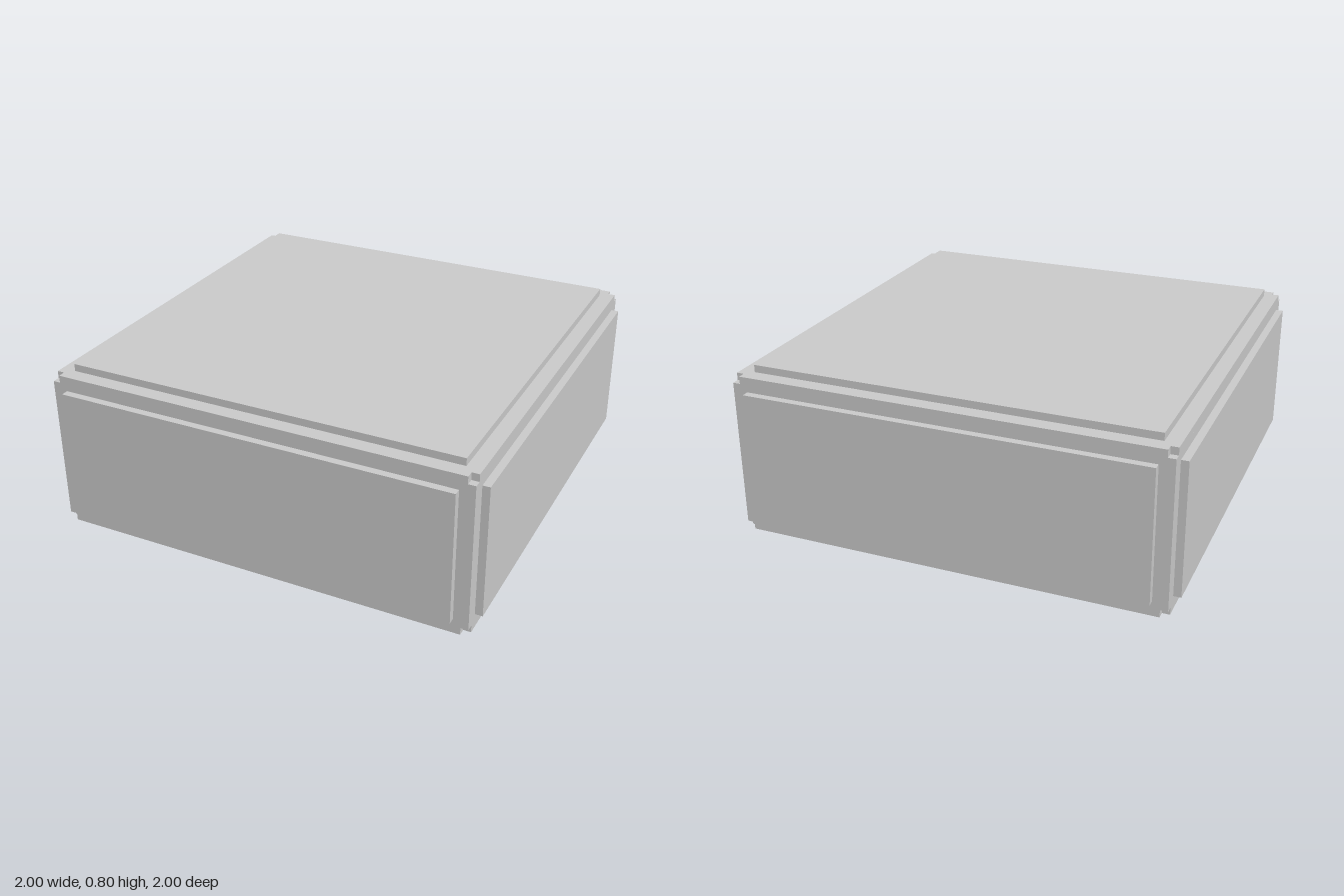
import * as THREE from 'three';

const HALF = [1, 0.4, 1];   // overall half sizes
const STEP = 0.0333;        // panel thickness and corner notch size
const MARGIN = 0.1;         // panel inset from the overall edges

export function createModel() {
  const model = new THREE.Group();
  const material = new THREE.MeshStandardMaterial({ color: 0xcccccc, flatShading: true });
  const add = (name, geometry, x, y, z) => {
    const mesh = new THREE.Mesh(geometry, material);
    mesh.name = name;
    mesh.position.set(x, y, z);
    model.add(mesh);
    return mesh;
  };

  // Core block, up to the level of the corner notches
  const a = 1 - STEP;       // core half width
  const b = a - STEP;       // start of the corner notch
  const h = HALF[1] - 2 * STEP;
  add('coreBlock', new THREE.BoxGeometry(2 * a, 2 * h, 2 * a), 0, HALF[1], 0);

  // Top and bottom layers with a small square cut out of each corner
  const outline = [
    [a, -b], [a, b], [b, b], [b, a], [-b, a], [-b, b],
    [-a, b], [-a, -b], [-b, -b], [-b, -a], [b, -a], [b, -b],
  ].map(([x, y]) => new THREE.Vector2(x, y));
  const layer = new THREE.ExtrudeGeometry(new THREE.Shape(outline), { depth: STEP, bevelEnabled: false });
  layer.rotateX(-Math.PI / 2);
  add('topNotchedLayer', layer, 0, HALF[1] + h, 0);
  add('bottomNotchedLayer', layer, 0, STEP, 0);

  // One raised panel on each of the six faces
  const names = [['leftPanel', 'rightPanel'], ['topPanel', 'bottomPanel'], ['frontPanel', 'backPanel']];
  names.forEach((pair, axis) => {
    const size = HALF.map((s, i) => (i === axis ? STEP : 2 * (s - MARGIN)));
    const geometry = new THREE.BoxGeometry(...size);
    pair.forEach((name, i) => {
      const position = [0, HALF[1], 0];
      position[axis] += (i ? -1 : 1) * (HALF[axis] - STEP / 2);
      add(name, geometry, ...position);
    });
  });

  return model;
}
